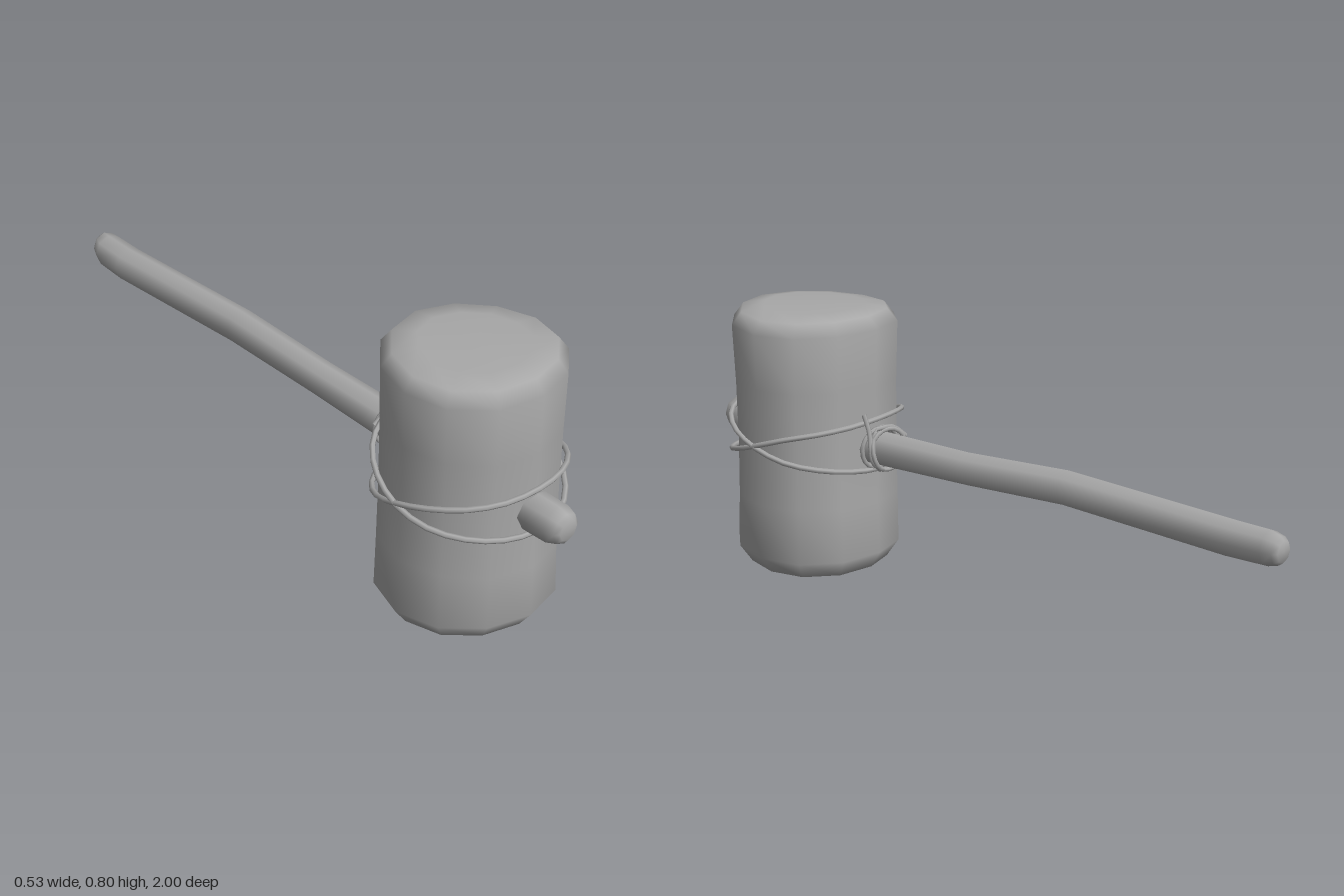
import * as THREE from 'three';
import { mergeVertices } from 'three/addons/utils/BufferGeometryUtils.js';

const HEAD_Z = 0.645, GRIP_Y = 0.405;

// Weld seams and poles so the normals run smoothly over the whole surface
function smooth(geo) {
  geo.deleteAttribute('normal');
  geo.deleteAttribute('uv');
  const welded = mergeVertices(geo, 1e-4);
  welded.computeVertexNormals();
  return welded;
}

function moveVertices(geo, rule) {
  const p = geo.attributes.position, v = new THREE.Vector3();
  for (let i = 0; i < p.count; i++) {
    rule(v.fromBufferAttribute(p, i));
    p.setXYZ(i, v.x, v.y, v.z);
  }
  return geo;
}

export function createModel() {
  const group = new THREE.Group();
  const grey = new THREE.MeshStandardMaterial({ color: 0xa8a8a8 });
  grey.name = 'grey';
  const add = (name, geo) => {
    const mesh = new THREE.Mesh(geo, grey);
    mesh.name = name;
    group.add(mesh);
    return mesh;
  };

  // Head: a worn log with bevelled, uneven ends
  const headProfile = [
    [0, 0.006], [0.15, 0.006], [0.212, 0.018], [0.249, 0.07], [0.245, 0.23],
    [0.242, 0.4], [0.243, 0.58], [0.247, 0.75], [0.218, 0.787], [0.15, 0.799], [0, 0.797],
  ].map(([r, y]) => new THREE.Vector2(r, y));
  const head = new THREE.LatheGeometry(headProfile, 12);
  moveVertices(head, (v) => {
    const a = Math.atan2(v.x, v.z), r = Math.hypot(v.x, v.z);
    const end = Math.abs(v.y - 0.4) > 0.3 ? 1 : 0.4;
    const k = 1 + 0.016 * end * Math.sin(3 * a + 5 * v.y);
    v.x *= k;
    v.z *= k;
    if (r > 0.1 && end === 1) v.y += 0.005 * Math.sin(2 * a + 1) * (r / 0.25);
    // Chip in the lower front edge
    if (v.y < 0.05 && r > 0.19 && a > 0.1 && a < 0.7) {
      v.y += 0.032;
      v.z -= 0.012;
    }
  });
  add('head', smooth(head)).position.z = HEAD_Z;

  // Handle: an eight-sided stick that bends slightly; rows are z, radius, x, y
  const sections = [
    [-1, 0.03, 0.012, 0.4], [-0.985, 0.041, 0.01, 0.4], [-0.95, 0.05, 0.002, 0.397],
    [-0.84, 0.052, -0.002, 0.396], [-0.3, 0.051, -0.003, 0.42], [0.05, 0.049, 0.004, 0.406],
    [0.35, 0.053, 0.003, 0.403], [0.9, 0.056, 0.002, 0.403], [0.96, 0.055, 0.002, 0.404],
    [0.99, 0.045, 0.002, 0.405], [1, 0.03, 0.002, 0.405],
  ];
  const rows = [[-1, 0, 0.012, 0.4], ...sections, [1, 0, 0.002, 0.405]];
  const handle = new THREE.LatheGeometry(rows.map(([z, r]) => new THREE.Vector2(r, z)), 8);
  handle.rotateX(Math.PI / 2);
  moveVertices(handle, (v) => {
    const row = rows.reduce((a, b) => (Math.abs(b[0] - v.z) < Math.abs(a[0] - v.z) ? b : a));
    v.x += row[2];
    v.y += row[3];
  });
  add('handle', smooth(handle));

  const cord = (name, points, closed, segments, radius = 0.008) => {
    const curve = new THREE.CatmullRomCurve3(points.map((p) => new THREE.Vector3(...p)), closed);
    add(name, new THREE.TubeGeometry(curve, segments, radius, 6, closed));
  };

  // Two tilted cord loops that cross at the sides of the head
  for (const tilt of [1, -1]) {
    const points = [];
    for (let i = 0; i < 16; i++) {
      const a = (i / 16) * Math.PI * 2, c = Math.cos(a);
      const r = 0.249 + 0.008 * Math.abs(Math.sin(a));
      const y = 0.413 + tilt * (c > 0 ? 0.066 : 0.076) * Math.sign(c) * Math.abs(c) ** 0.85;
      points.push([Math.sin(a) * r, y + 0.004 * tilt * Math.sin(3 * a), HEAD_Z + c * r]);
    }
    cord('headCord', points, true, 32);
  }

  // Cord wound around the handle behind the head
  [[0.355, 0.012, 0], [0.372, -0.015, 0.01], [0.388, 0.012, -0.006]].forEach(([z, tiltX, tiltY]) => {
    const points = [];
    for (let i = 0; i < 10; i++) {
      const a = (i / 10) * Math.PI * 2, c = Math.cos(a), s = Math.sin(a);
      points.push([0.003 + 0.062 * c, GRIP_Y + 0.062 * s, z + tiltX * c + tiltY * s]);
    }
    cord('handleCord', points, true, 20, 0.007);
  });

  // Loose cord ends
  cord('cordTail', [[0.03, 0.345, 0.36], [0.064, 0.4, 0.365], [0.06, 0.46, 0.375], [0.064, 0.515, 0.392]], false, 8, 0.007);
  cord('cordTail', [[-0.07, 0.43, 0.352], [-0.02, 0.468, 0.358], [0.05, 0.474, 0.36]], false, 6, 0.007);
  return group;
}
